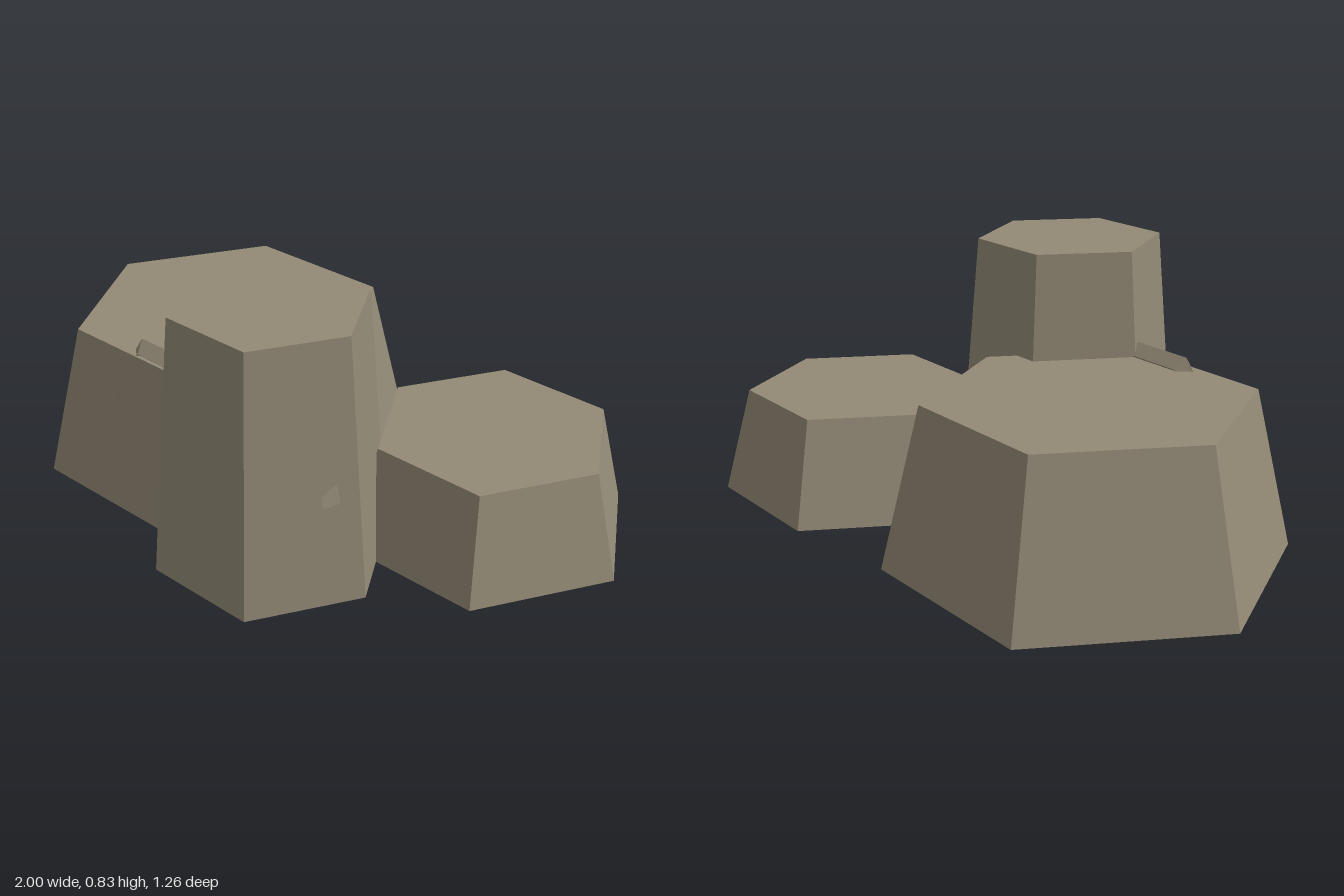
import * as THREE from 'three';

const stone = new THREE.MeshStandardMaterial({ color: 0x938a76, flatShading: true });
stone.name = 'stone';

// Tapered hexagonal block with corners pointing along x
function hexBlock(name, x, z, topRadius, bottomRadius, height) {
  const geo = new THREE.CylinderGeometry(topRadius, bottomRadius, height, 6);
  geo.rotateY(Math.PI / 6);
  const mesh = new THREE.Mesh(geo, stone);
  mesh.name = name;
  mesh.position.set(x, height / 2, z);
  return mesh;
}

// Bent bar with a diamond cross-section, swept along a three-part path
function archGeometry() {
  const r = 0.035;
  const path = [[-0.195, 0.328, 0.385], [-0.105, 0.506, 0.34], [0.105, 0.506, 0.34], [0.195, 0.328, 0.385]];
  const normals = [[-0.9, 0.45], [-0.45, 1], [0.45, 1], [0.9, 0.45]];
  const pos = [];
  path.forEach(([x, y, z], i) => {
    const [nx, ny] = normals[i];
    for (let k = 0; k < 4; k++) {
      const c = Math.round(Math.cos(k * Math.PI / 2)) * r;
      const s = Math.round(Math.sin(k * Math.PI / 2)) * r;
      pos.push(x + nx * c, y + ny * c, z + s);
    }
  });
  const index = [0, 2, 1, 0, 3, 2, 12, 13, 14, 12, 14, 15];
  for (let i = 0; i < 3; i++) {
    for (let k = 0; k < 4; k++) {
      const a = i * 4 + k, b = i * 4 + (k + 1) % 4;
      index.push(a, b, b + 4, a, b + 4, a + 4);
    }
  }
  const geo = new THREE.BufferGeometry();
  geo.setAttribute('position', new THREE.Float32BufferAttribute(pos, 3));
  geo.setIndex(index);
  const flat = geo.toNonIndexed();
  flat.computeVertexNormals();
  return flat;
}

export function createModel() {
  const group = new THREE.Group();
  group.name = 'rockCluster';

  // Three rocks
  group.add(
    hexBlock('wideRock', -0.385, -0.047, 0.495, 0.615, 0.5),
    hexBlock('lowRock', 0.54, -0.235, 0.37, 0.46, 0.335),
    hexBlock('tallRock', 0.145, 0.315, 0.295, 0.365, 0.83),
  );

  // Ledge on the wide rock, and its twin poking out of the tall rock
  const arch = archGeometry();
  [['ledge', -0.255], ['buriedLedge', 0.242]].forEach(([name, x]) => {
    const mesh = new THREE.Mesh(arch, stone);
    mesh.name = name;
    mesh.position.x = x;
    group.add(mesh);
  });
  return group;
}
